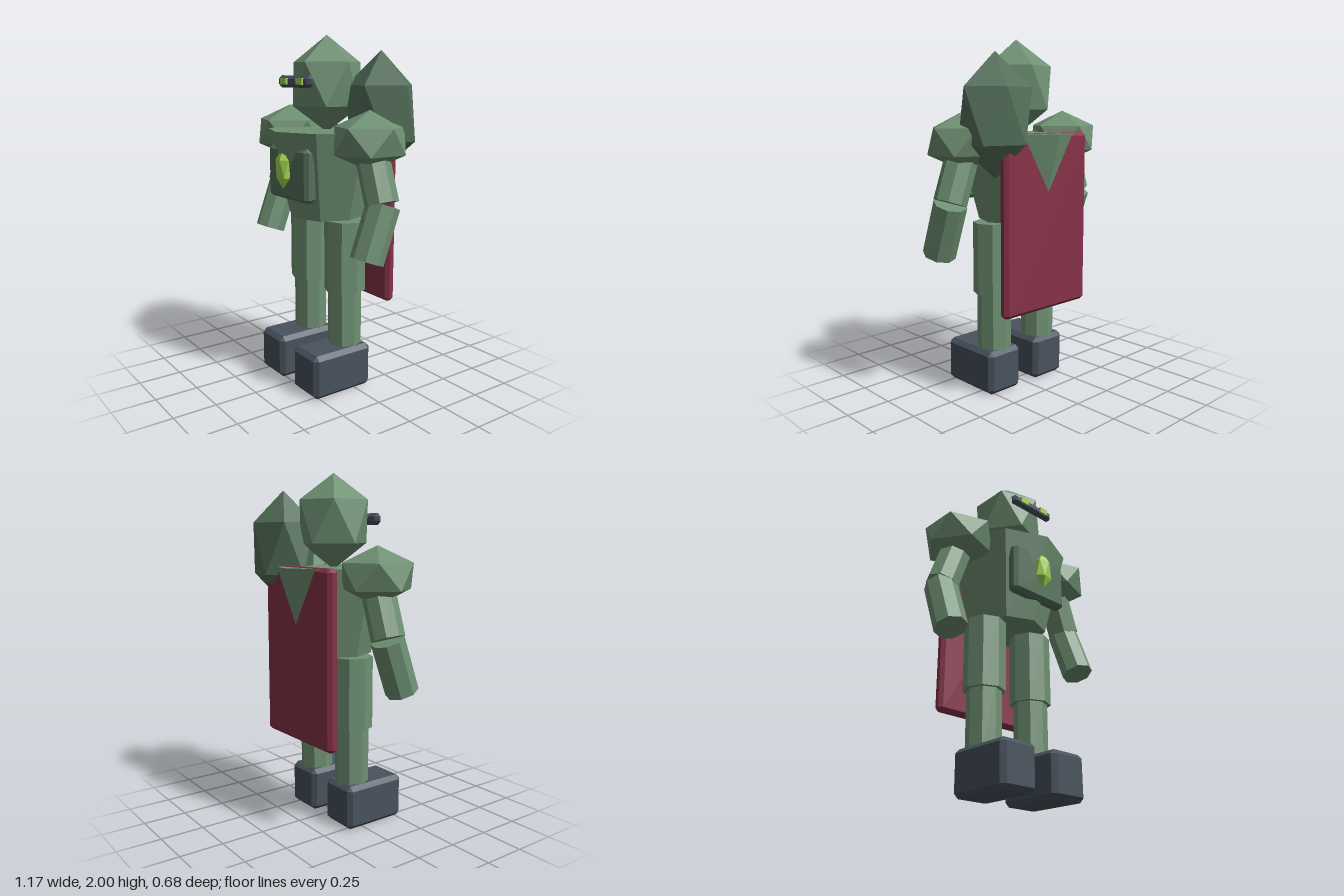
import * as THREE from 'three';
import { ConvexGeometry } from 'three/addons/geometries/ConvexGeometry.js';

const paint = (name, color) => {
  const m = new THREE.MeshStandardMaterial({ color, flatShading: true });
  m.name = name;
  return m;
};

// Icosahedron standing on a vertex, with separate half-axes
function gemGeometry(rx, ry, rz) {
  const pts = [new THREE.Vector3(0, ry, 0), new THREE.Vector3(0, -ry, 0)];
  const ring = 2 / Math.sqrt(5), h = 1 / Math.sqrt(5);
  for (let i = 0; i < 5; i++) {
    const a = (i * Math.PI * 2) / 5;
    const x = Math.cos(a) * ring, z = Math.sin(a) * ring;
    pts.push(new THREE.Vector3(x * rx, h * ry, z * rz));
    pts.push(new THREE.Vector3(-x * rx, -h * ry, -z * rz));
  }
  return new ConvexGeometry(pts);
}

// Box with a single flat chamfer on every edge
function chamferBox(w, h, d, c) {
  const half = [w / 2, h / 2, d / 2], pts = [];
  for (const sx of [-1, 1]) for (const sy of [-1, 1]) for (const sz of [-1, 1]) {
    for (let full = 0; full < 3; full++) {
      const p = half.map((v, i) => (i === full ? v : v - c));
      pts.push(new THREE.Vector3(p[0] * sx, p[1] * sy, p[2] * sz));
    }
  }
  return new ConvexGeometry(pts);
}

// Eight-sided limb between two points
function limb(from, to, r) {
  const a = new THREE.Vector3(...from), b = new THREE.Vector3(...to);
  const dir = a.clone().sub(b);
  const geo = new THREE.CylinderGeometry(r, r, dir.length(), 8);
  geo.applyQuaternion(new THREE.Quaternion().setFromUnitVectors(new THREE.Vector3(0, 1, 0), dir.normalize()));
  const mid = a.add(b).multiplyScalar(0.5);
  return geo.translate(mid.x, mid.y, mid.z);
}

export function createModel() {
  const green = paint('armour green', 0x6f9173);
  const darkGreen = paint('dark green', 0x54715b);
  const slate = paint('slate', 0x48525e);
  const red = paint('cape red', 0x863248);
  const lime = paint('glowing lime', 0xa2d650);

  const model = new THREE.Group();
  model.name = 'armouredFigure';
  const add = (name, geo, mat, x = 0, y = 0, z = 0) => {
    const mesh = new THREE.Mesh(geo, mat);
    mesh.name = name;
    mesh.position.set(x, y, z);
    model.add(mesh);
    return mesh;
  };

  // Head and visor
  add('head', gemGeometry(0.223, 0.268, 0.223), green, 0, 1.732, 0);
  add('visor', chamferBox(0.314, 0.066, 0.048, 0.02), slate, 0, 1.747, 0.208);

  // Torso, chest plate and core
  add('torso', new THREE.CylinderGeometry(0.342, 0.217, 0.495, 8), green, 0, 1.2325, 0);
  add('chestPlate', chamferBox(0.388, 0.295, 0.075, 0.02), darkGreen, 0, 1.247, 0.238);
  add('core', gemGeometry(0.062, 0.112, 0.036), lime, 0, 1.275, 0.298);

  // Cape and shoulder bundle
  add('cape', chamferBox(0.636, 0.995, 0.064, 0.02), red, 0, 0.988, -0.23);
  add('backBundle', gemGeometry(0.235, 0.333, 0.195), darkGreen, 0.293, 1.58, -0.15);

  // Paired parts
  for (const [side, s] of [['left', 1], ['right', -1]]) {
    add(side + 'Lens', new THREE.BoxGeometry(0.06, 0.034, 0.03), lime, s * 0.078, 1.748, 0.227);
    add(side + 'Shoulder', gemGeometry(0.214, 0.16, 0.222), green, s * 0.387, 1.445, 0);
    add(side + 'UpperArm', limb([s * 0.39, 1.4, -0.005], [s * 0.488, 1.12, -0.005], 0.092), green);
    add(side + 'Forearm', limb([s * 0.491, 1.115, -0.012], [s * 0.491, 0.825, 0.095], 0.092), green);
    add(side + 'Thigh', limb([s * 0.175, 0.985, 0], [s * 0.175, 0.575, 0], 0.118), green);
    add(side + 'Shin', limb([s * 0.175, 0.6, 0], [s * 0.175, 0.22, 0], 0.097), green);
    add(side + 'Boot', chamferBox(0.236, 0.255, 0.392, 0.025), slate, s * 0.177, 0.1275, 0.09);
  }
  return model;
}
